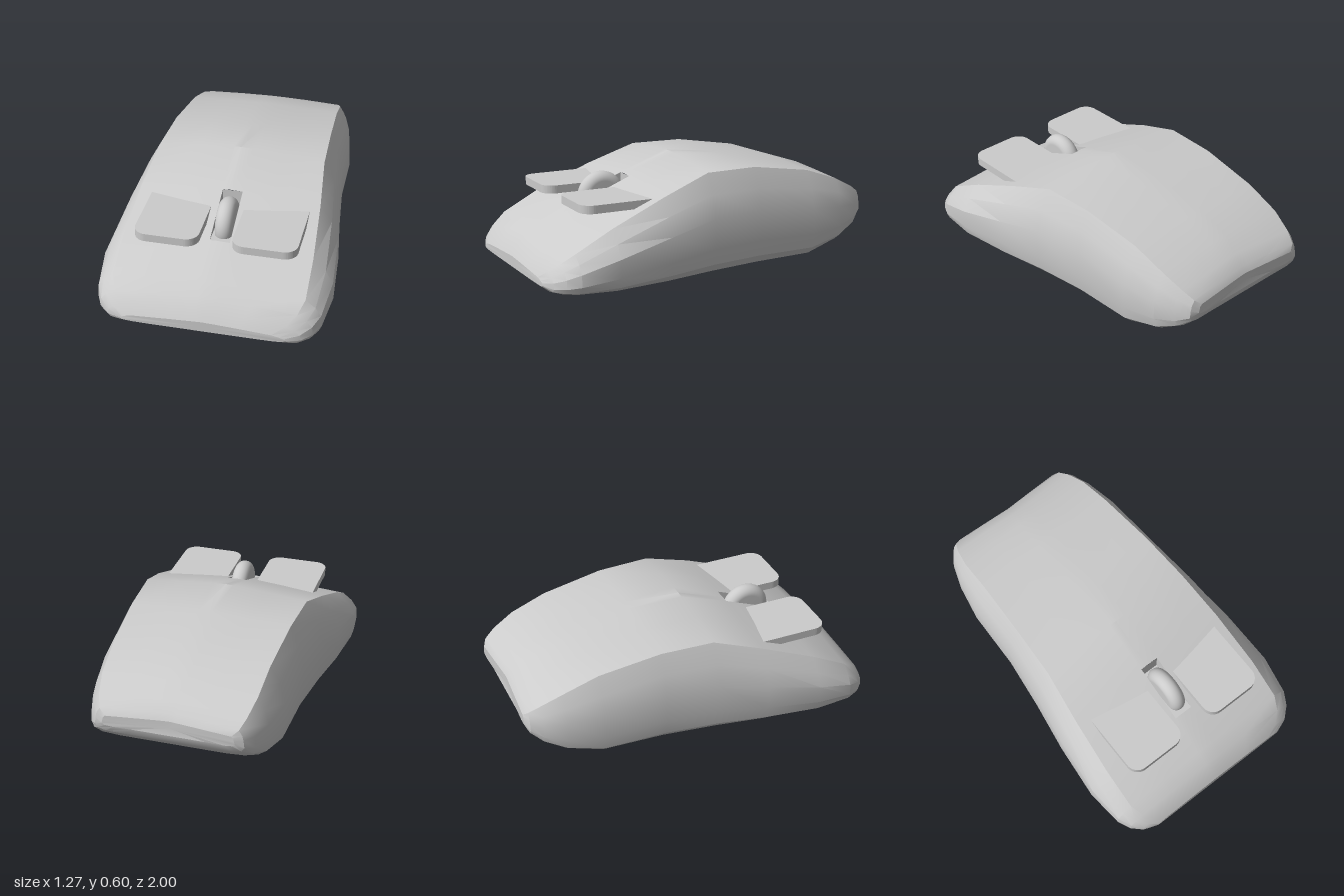
import * as THREE from 'three';
import { toCreasedNormals } from 'three/addons/utils/BufferGeometryUtils.js';

const grey = new THREE.MeshStandardMaterial({ color: 0xcccccc });
const greyDouble = new THREE.MeshStandardMaterial({ color: 0xcccccc, side: THREE.DoubleSide });

// Slot cut into the front slope for the scroll wheel
const SLOT = { x0: -0.04, x1: 0.07, front: 0.64, back: 0.33 };

// Body cross-sections, front to back:
// z, half width, half width of top panel, top y at centre, top y at panel edge, bottom y
const SECTIONS = [
  [1.0, 0.44, 0.37, 0.1, 0.08, 0.04],
  [0.97, 0.52, 0.44, 0.15, 0.125, 0.018],
  [0.92, 0.575, 0.49, 0.205, 0.17, 0.01],
  [0.85, 0.61, 0.52, 0.255, 0.22, 0.005],
  [0.64, 0.635, 0.52, 0.37, 0.33, 0],
  [0.33, 0.61, 0.5, 0.495, 0.46, 0],
  [0.05, 0.57, 0.47, 0.6, 0.56, 0.003],
  [-0.25, 0.535, 0.455, 0.572, 0.56, 0.007],
  [-0.6, 0.525, 0.435, 0.518, 0.505, 0.015],
  [-0.8, 0.49, 0.425, 0.455, 0.435, 0.07],
  [-0.92, 0.45, 0.4, 0.4, 0.375, 0.14],
  [-0.98, 0.405, 0.375, 0.355, 0.335, 0.195],
  [-1.0, 0.36, 0.34, 0.32, 0.305, 0.24],
];

function topY([, , xe, yt, ye], x) {
  return yt - (yt - ye) * Math.pow(Math.abs(x) / xe, 1.2);
}

// One closed loop: top centre, down the +x side, back up the -x side
function sectionLoop(s) {
  const [z, w, xe, , ye, yb] = s;
  const h = ye - yb;
  const side = [
    [xe / 2, topY(s, xe / 2)],
    [xe, ye],
    [xe + (w - xe) * 0.6, ye - h * 0.2],
    [w - 0.005, ye - h * 0.42],
    [w, yb + h * 0.28],
    [w - 0.015, yb + h * 0.12],
    [w - 0.06, yb + h * 0.035],
    [w - 0.16, yb],
  ];
  const loop = [
    [0, topY(s, 0)],
    [SLOT.x1, topY(s, SLOT.x1)],
    ...side,
    ...side.map(([x, y]) => [-x, y]).reverse(),
    [SLOT.x0, topY(s, SLOT.x0)],
  ];
  // The tail is slightly hollow along its middle
  return loop.map(([x, y]) => [x, y, z + (z < -0.9 ? 0.02 * Math.max(0, 1 - Math.abs(x) / 0.33) : 0)]);
}

function bodyGeometry() {
  const loops = SECTIONS.map(sectionLoop);
  const n = loops[0].length;
  const positions = loops.flat(2);
  const index = [];
  for (let i = 0; i < loops.length - 1; i++) {
    for (let j = 0; j < n; j++) {
      const overSlot = SECTIONS[i][0] === SLOT.front && (j === 0 || j === n - 1);
      if (overSlot) continue;
      const k = (j + 1) % n;
      const a = i * n + j, b = i * n + k, c = b + n, d = a + n;
      index.push(a, b, c, a, c, d);
    }
  }
  // Nose and tail caps
  for (const i of [0, loops.length - 1]) {
    const [z, , , yt, , yb] = SECTIONS[i];
    const centre = positions.length / 3;
    positions.push(0, (yt + yb) / 2, i ? z + 0.02 : z);
    for (let j = 0; j < n; j++) {
      const a = i * n + j, b = i * n + (j + 1) % n;
      index.push(centre, ...(i ? [a, b] : [b, a]));
    }
  }
  const geometry = new THREE.BufferGeometry();
  geometry.setAttribute('position', new THREE.Float32BufferAttribute(positions, 3));
  geometry.setIndex(index);
  return toCreasedNormals(geometry, 0.45);
}

// Wedge-shaped recess: level floor, upright back wall and two triangular sides
function slotGeometry() {
  const sectionAt = (z) => SECTIONS.find((s) => s[0] === z);
  const corners = [SLOT.x0, SLOT.x1].flatMap((x) => {
    const floor = topY(sectionAt(SLOT.front), x);
    return [x, floor, SLOT.front, x, floor, SLOT.back, x, topY(sectionAt(SLOT.back), x), SLOT.back];
  });
  const geometry = new THREE.BufferGeometry();
  geometry.setAttribute('position', new THREE.Float32BufferAttribute(corners, 3));
  geometry.setIndex([0, 3, 4, 0, 4, 1, 1, 4, 5, 1, 5, 2, 0, 1, 2, 3, 5, 4]);
  return toCreasedNormals(geometry, 0.3);
}

// Flat plate with rounded front corners; its back end sinks into the body
function buttonGeometry() {
  const w = 0.175, back = 0.32, front = 0.77, r = 0.07;
  const shape = new THREE.Shape();
  shape.moveTo(-w, back);
  shape.lineTo(w, back);
  shape.lineTo(w, front - r);
  shape.absarc(w - r, front - r, r, 0, Math.PI / 2);
  shape.lineTo(-w + r, front);
  shape.absarc(-w + r, front - r, r, Math.PI / 2, Math.PI);
  const geometry = new THREE.ExtrudeGeometry(shape, { depth: 0.045, bevelEnabled: false, curveSegments: 6 });
  return geometry.rotateX(Math.PI / 2);
}

// Solid disc with a fully rounded rim, axle along x
function wheelGeometry() {
  const radius = 0.137, half = 0.048;
  const profile = [new THREE.Vector2(0, -half)];
  for (let i = 0; i <= 12; i++) {
    const a = -Math.PI / 2 + (i / 12) * Math.PI;
    profile.push(new THREE.Vector2(radius - half + half * Math.cos(a), half * Math.sin(a)));
  }
  profile.push(new THREE.Vector2(0, half));
  return new THREE.LatheGeometry(profile, 32).rotateZ(Math.PI / 2);
}

export function createModel() {
  const model = new THREE.Group();
  model.name = 'computerMouse';
  const add = (name, geometry, material, x = 0, y = 0, z = 0) => {
    const mesh = new THREE.Mesh(geometry, material);
    mesh.name = name;
    mesh.position.set(x, y, z);
    model.add(mesh);
  };

  add('body', bodyGeometry(), grey);
  add('wheelSlot', slotGeometry(), greyDouble);
  add('scrollWheel', wheelGeometry(), grey, 0.02, 0.39, 0.48);
  add('leftButton', buttonGeometry(), grey, 0.275, 0.447, 0);
  add('rightButton', buttonGeometry(), grey, -0.255, 0.447, 0);
  return model;
}
